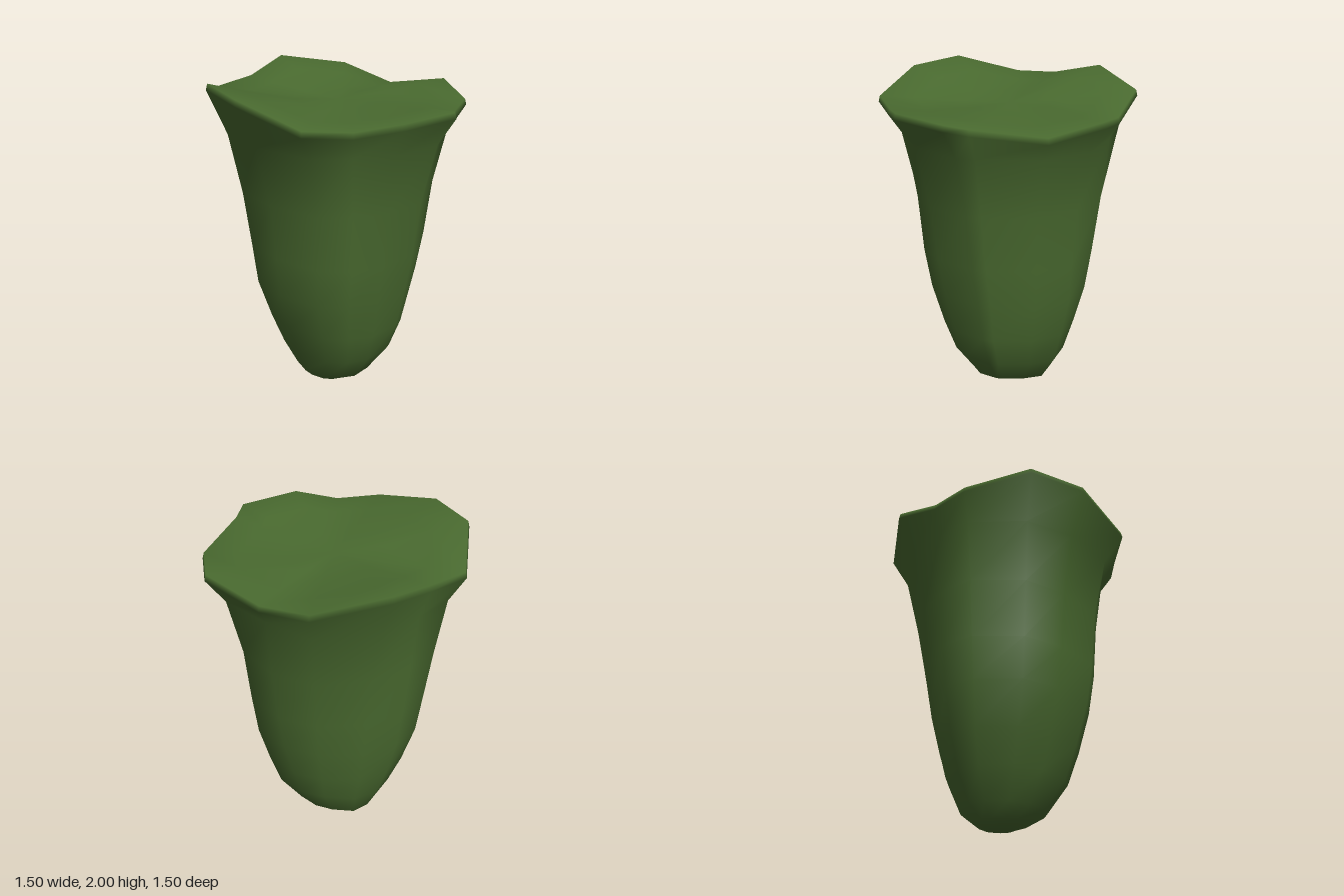
import * as THREE from 'three';

// Wavy rim corners, back round to the left side: [x, y, z]
const RIM = [
  [0.06, 1.89, -0.755], [0.38, 1.845, -0.64], [0.64, 1.88, -0.32], [0.735, 1.905, -0.23],
  [0.75, 1.905, 0.14], [0.61, 1.865, 0.36], [0.49, 1.885, 0.6], [0.09, 1.985, 0.75],
  [-0.27, 2, 0.725], [-0.59, 1.89, 0.49], [-0.645, 1.91, 0.22], [-0.75, 1.98, -0.07],
  [-0.6, 1.91, -0.47], [-0.27, 1.825, -0.595],
];

// Body rings: [y, xMin, xMax, zMin, zMax, how much the ring follows the rim,
// bulges between the axes at (+x+z), (-x+z), (-x-z), (+x-z)]
const RINGS = [
  [0.012, -0.165, 0.01, -0.03, 0.13, 0, [0, 0, 0, 0]],
  [0.04, -0.23, 0.09, -0.13, 0.19, 0, [0, -0.02, -0.03, -0.03]],
  [0.12, -0.315, 0.225, -0.26, 0.265, 0, [0, -0.01, -0.04, -0.04]],
  [0.3, -0.385, 0.345, -0.385, 0.34, 0, [0.02, 0.02, -0.055, -0.035]],
  [0.5, -0.44, 0.415, -0.445, 0.405, 0, [0.02, 0.04, -0.05, -0.025]],
  [0.75, -0.485, 0.47, -0.51, 0.475, 0, [0.03, 0.06, -0.04, -0.03]],
  [1.0, -0.51, 0.515, -0.535, 0.5, 0, [0.03, 0.07, -0.02, -0.02]],
  [1.34, -0.545, 0.56, -0.565, 0.535, 0.15, [0.02, 0.09, 0.015, -0.01]],
  [1.7, -0.64, 0.64, -0.65, 0.61, 0.6, [0.02, 0.09, 0.02, 0.02]],
];

// Dished top: [scale of the rim outline, blend of rim height]
const DISH = [[0.988, 1], [0.72, 0.6], [0.36, 0.15]];
const DISH_Y = 1.86;

function bodyGeometry() {
  const n = RIM.length;
  const points = [];

  // Underside pole and the rounded body
  points.push(-0.08, 0, 0.05);
  for (const [y, x0, x1, z0, z1, follow, bulges] of RINGS) {
    const rx = (x1 - x0) / 2, rz = (z1 - z0) / 2;
    const s = (rx + rz) / 1.5;
    for (const [px, , pz] of RIM) {
      const t = (Math.atan2(pz, px) + 2 * Math.PI) % (2 * Math.PI);
      const bulge = bulges[Math.floor(t / (Math.PI / 2))] * Math.abs(Math.sin(2 * t));
      const ex = (x0 + x1) / 2 + (rx * 1.01 + bulge) * Math.cos(t);
      const ez = (z0 + z1) / 2 + (rz * 1.01 + bulge) * Math.sin(t);
      points.push(
        THREE.MathUtils.lerp(ex, px * s, follow), y,
        THREE.MathUtils.lerp(ez, pz * s, follow));
    }
  }

  // Outer lip, then the dished top and its centre
  for (const [x, y, z] of RIM) points.push(x, y - 0.035, z);
  for (const [s, blend] of DISH) {
    for (const [x, y, z] of RIM) {
      points.push(x * s, THREE.MathUtils.lerp(DISH_Y, y, blend), z * s);
    }
  }
  points.push(0, DISH_Y, 0);

  // Skin the rings and close both poles
  const count = RINGS.length + 1 + DISH.length;
  const at = (r, i) => 1 + r * n + (i % n);
  const top = 1 + count * n;
  const index = [];
  for (let i = 0; i < n; i++) {
    index.push(0, at(0, i), at(0, i + 1));
    for (let r = 0; r < count - 1; r++) {
      const a = at(r, i), b = at(r, i + 1), c = at(r + 1, i), d = at(r + 1, i + 1);
      index.push(a, c, b, b, c, d);
    }
    index.push(at(count - 1, i), top, at(count - 1, i + 1));
  }

  const geometry = new THREE.BufferGeometry();
  geometry.setAttribute('position', new THREE.Float32BufferAttribute(points, 3));
  geometry.setIndex(index);
  geometry.computeVertexNormals();
  return geometry;
}

export function createModel() {
  const group = new THREE.Group();
  group.name = 'flaredStump';
  const green = new THREE.MeshStandardMaterial({ color: 0x4a6b30 });
  green.name = 'moss green';
  const body = new THREE.Mesh(bodyGeometry(), green);
  body.name = 'body';
  group.add(body);
  return group;
}
